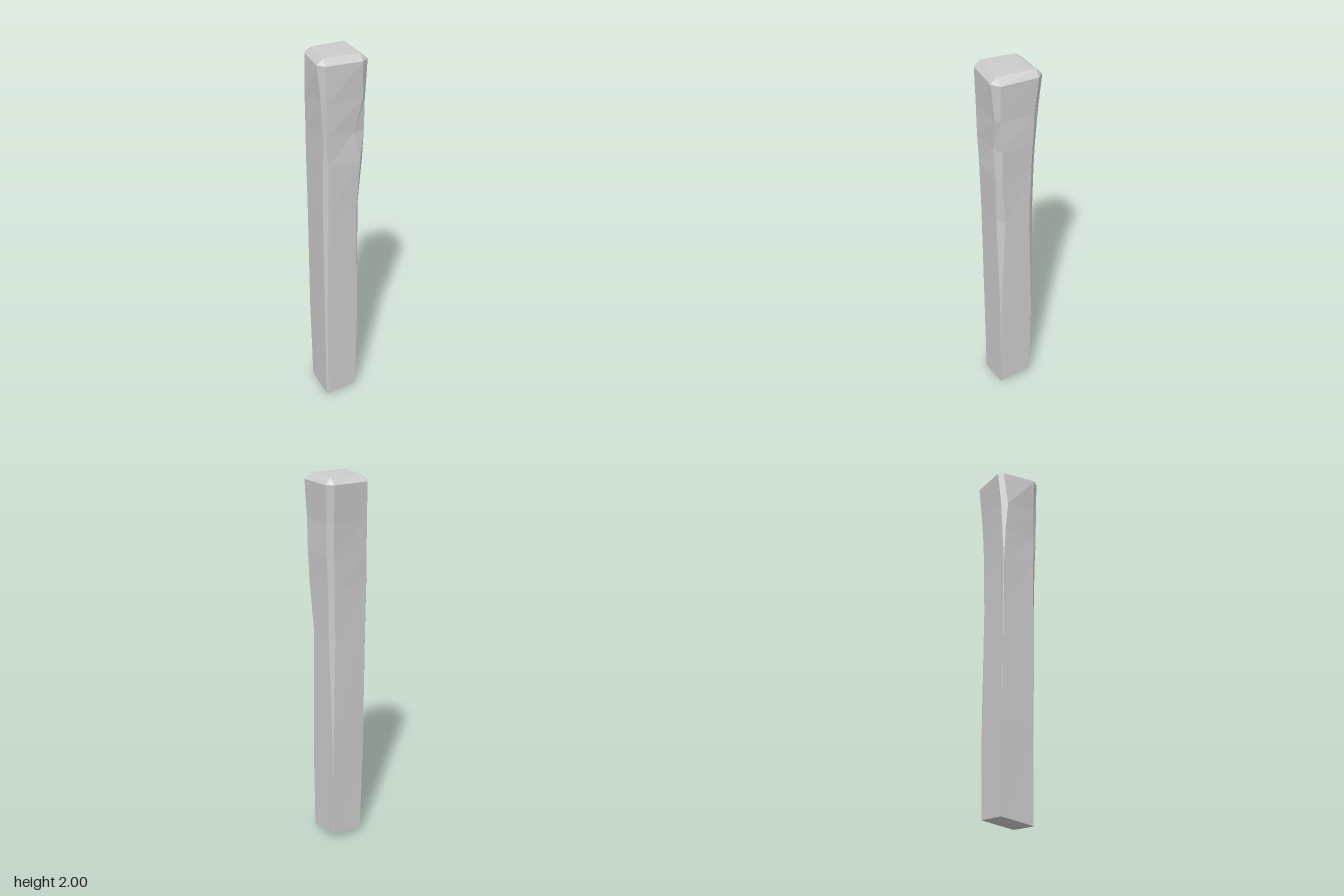
import * as THREE from 'three';

// Each ring: y, then x,z pairs around the post:
// front-right, back-right, back-left and front-left corner, two points each
const RINGS = [
  [0, .09, .085, .09, .085, .092, -.102, .092, -.102, -.085, -.102, -.085, -.102, -.09, .08, -.083, .086],
  [.5, .094, .088, .096, .084, .097, -.104, .095, -.106, -.098, -.104, -.098, -.104, -.1, .08, -.09, .089],
  [1.17, .076, .1, .102, .062, .105, -.078, .083, -.106, -.103, -.106, -.105, -.104, -.108, .08, -.086, .1],
  [1.44, .088, .111, .112, .085, .11, -.081, .088, -.107, -.108, -.106, -.11, -.104, -.108, .085, -.09, .106],
  [1.6, .058, .104, .119, .088, .118, -.083, .093, -.11, -.104, -.112, -.114, -.097, -.109, .085, -.1, .109],
  [1.77, .097, .116, .117, .096, .122, -.087, .1, -.118, -.1, -.118, -.121, -.087, -.118, .083, -.103, .111],
  [1.965, .085, .13, .127, .1, .135, -.1, .107, -.133, -.09, -.133, -.109, -.107, -.137, .081, -.107, .115],
  [1.996, .085, .1, .085, .1, .105, -.1, .105, -.1, -.08, -.095, -.08, -.095, -.105, .085, -.105, .085],
];

function buildPost() {
  const rings = RINGS.map(([y, ...p], r) =>
    Array.from({ length: 8 }, (_, i) => {
      const x = p[2 * i], z = p[2 * i + 1];
      // the foot is cut at a slight slant
      return new THREE.Vector3(x, r === 0 ? 0.023 + 0.11 * x - 0.12 * z : y, z);
    }));
  const pos = [];
  const tri = (a, b, c) => {
    const area = b.clone().sub(a).cross(c.clone().sub(a)).length();
    if (area > 1e-7) for (const v of [a, b, c]) pos.push(v.x, v.y, v.z);
  };

  // Chamfered sides and the bevel under the top
  for (let r = 0; r < rings.length - 1; r++) {
    for (let i = 0; i < 8; i++) {
      const j = (i + 1) % 8, a = rings[r], b = rings[r + 1];
      tri(a[i], a[j], b[j]);
      tri(a[i], b[j], b[i]);
    }
  }

  // Slanted foot and very slightly raised top
  const foot = new THREE.Vector3(0, 0.023, 0), crown = new THREE.Vector3(0, 2, 0);
  const last = rings[rings.length - 1];
  for (let i = 0; i < 8; i++) {
    const j = (i + 1) % 8;
    tri(foot, rings[0][j], rings[0][i]);
    tri(crown, last[i], last[j]);
  }

  const geo = new THREE.BufferGeometry();
  geo.setAttribute('position', new THREE.Float32BufferAttribute(pos, 3));
  geo.computeVertexNormals();
  return geo;
}

export function createModel() {
  const group = new THREE.Group();
  group.name = 'hewnPost';
  const post = new THREE.Mesh(
    buildPost(),
    new THREE.MeshStandardMaterial({ color: 0xcccccc, flatShading: true }));
  post.name = 'post';
  group.add(post);
  return group;
}
